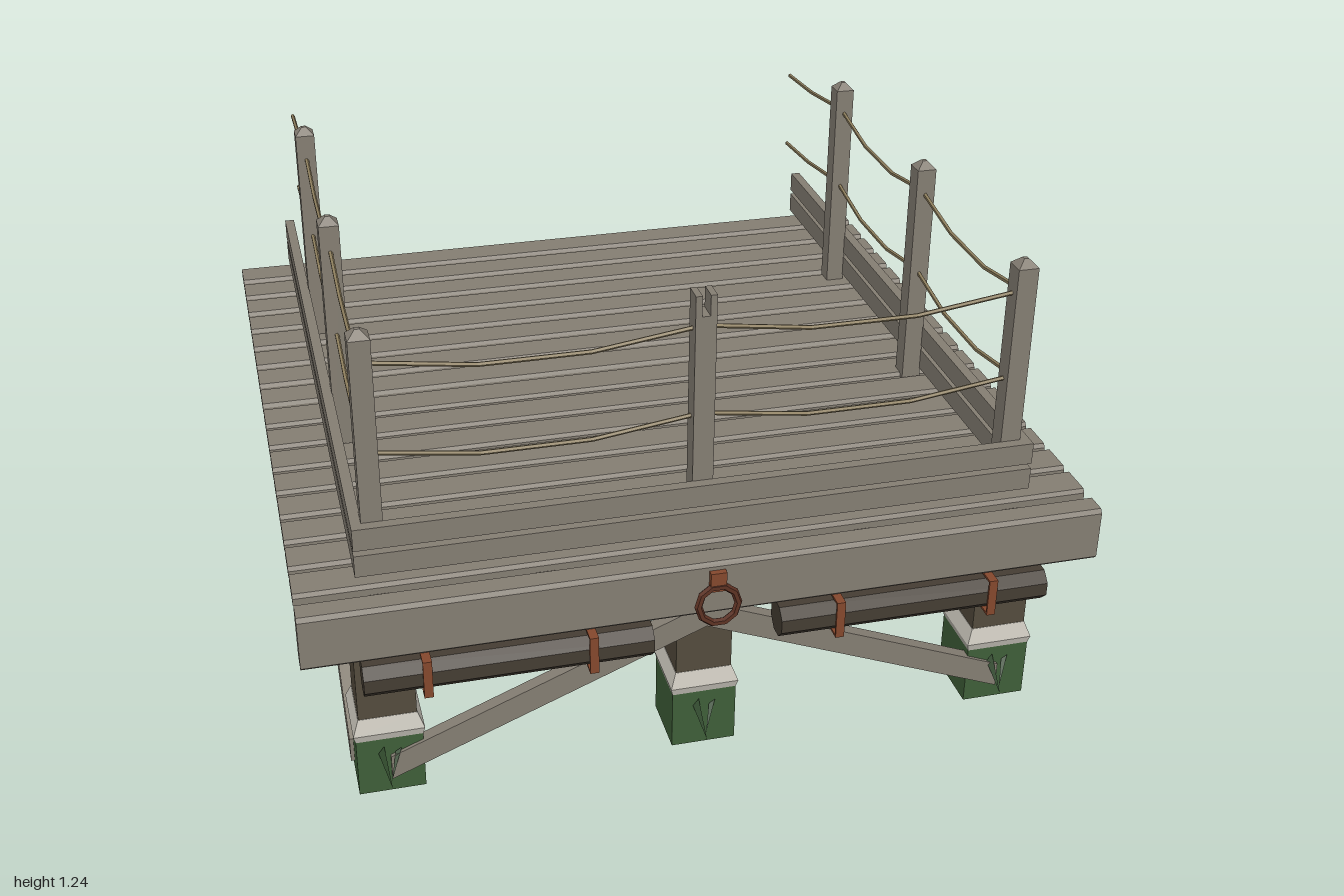
import * as THREE from 'three';

export function createModel() {
  const root = new THREE.Group();
  root.name = 'pier';

  const mat = (name, color, extra = {}) => {
    const m = new THREE.MeshStandardMaterial({ color, flatShading: true, ...extra });
    m.name = name;
    return m;
  };
  const wood = mat('weatheredWood', 0x857e73);
  const pileWood = mat('darkPileWood', 0x544c3d);
  const logWood = mat('logBark', 0x453d33);
  const algae = mat('algaeGreen', 0x3f5f39);
  const barnacle = mat('barnacleWhite', 0xc6c2b8);
  const rust = mat('rustyIron', 0x85482d);
  const darkRust = mat('darkRust', 0x5a3022);
  const ropeMat = mat('rope', 0x8c7d5c);
  const weed = mat('seaweed', 0x2c4628, { side: THREE.DoubleSide });

  const add = (name, geo, m, parent = root) => {
    const mesh = new THREE.Mesh(geo, m);
    mesh.name = name;
    parent.add(mesh);
    return mesh;
  };
  // Box given by its limits on each axis
  const box = (name, m, x0, x1, y0, y1, z0, z1, parent) => {
    const b = add(name, new THREE.BoxGeometry(x1 - x0, y1 - y0, z1 - z0), m, parent);
    b.position.set((x0 + x1) / 2, (y0 + y1) / 2, (z0 + z1) / 2);
    return b;
  };
  // Square frustum aligned with the axes, sized by half widths
  const frustum = (top, bottom, h) =>
    new THREE.CylinderGeometry(top * Math.SQRT2, bottom * Math.SQRT2, h, 4).rotateY(Math.PI / 4);
  // Outline in (z, y) drawn along x
  const alongX = (pts, length) =>
    new THREE.ExtrudeGeometry(new THREE.Shape(pts.map(([z, y]) => new THREE.Vector2(-z, y))),
      { depth: length, bevelEnabled: false }).translate(0, 0, -length / 2).rotateY(Math.PI / 2);

  // Deck planks with chamfered top edges
  const plankGeo = alongX([[-0.049, 0.575], [0.049, 0.575], [0.049, 0.593], [0.042, 0.603],
    [-0.042, 0.603], [-0.049, 0.593]], 2);
  for (let i = 0; i < 16; i++) add('deckPlank', plankGeo, wood).position.z = -0.945 + i * 0.1176;

  // Front beam
  add('frontBeam', alongX([[0.9, 0.457], [0.96, 0.457], [0.968, 0.465], [0.968, 0.592],
    [0.96, 0.603], [0.908, 0.603], [0.9, 0.592]], 2), wood);

  // Joists and the cross beams under them
  for (const x of [-0.8, -0.4, 0, 0.4, 0.8])
    box('joist', wood, x - 0.024, x + 0.024, 0.5, 0.576, -1, 0.9);
  const rows = [0.8, 0.15, -0.5];
  for (const z of rows) box('crossBeam', wood, -0.97, 0.97, 0.43, 0.5, z - 0.08, z + 0.08);

  // Two hanging blades of seaweed
  const weedGeo = new THREE.BufferGeometry();
  weedGeo.setAttribute('position', new THREE.Float32BufferAttribute([
    -0.03, 0.12, 0.086, -0.015, 0.14, 0.086, -0.005, 0.045, 0.135,
    0.028, 0.13, 0.086, 0.012, 0.12, 0.086, -0.005, 0.06, 0.125], 3));
  weedGeo.computeVertexNormals();

  // Piles around the edge
  for (const x of [-0.8, 0, 0.8]) for (const z of rows) {
    if (x === 0 && z === 0.15) continue;
    const pile = new THREE.Group();
    pile.name = 'pile';
    pile.position.set(x, 0, z);
    root.add(pile);
    box('pilePost', pileWood, -0.072, 0.072, 0.15, 0.435, -0.072, 0.072, pile);
    box('pileFoot', algae, -0.083, 0.083, 0, 0.17, -0.083, 0.083, pile);
    add('barnacleCollar', frustum(0.088, 0.083, 0.02), barnacle, pile).position.y = 0.17;
    add('barnacleCollarTop', frustum(0.073, 0.088, 0.04), barnacle, pile).position.y = 0.2;
    add('seaweed', weedGeo, weed, pile);
  }

  // Diagonal braces: a plank from height a at the start to height b at the end
  const brace = (u0, a, u1, b, m) => {
    const h = 0.034;
    const s = new THREE.Shape([[u0, a - h], [u1, b - h], [u1, b + h], [u0, a + h]]
      .map(p => new THREE.Vector2(...p)));
    return add('brace', new THREE.ExtrudeGeometry(s, { depth: 0.035, bevelEnabled: false })
      .translate(0, 0, -0.0175), m);
  };
  const hi = 0.4, lo = 0.075;
  for (const s of [-0.8, 0.8]) {
    brace(0, hi, s, lo, wood).position.z = 0.875;
    brace(0, lo, s, hi, wood).position.z = -0.575;
  }
  for (const end of [0.8, -0.5]) {
    const left = brace(-0.15, lo, -end, hi, wood);
    left.rotation.y = Math.PI / 2;
    left.position.x = 0.875;
    const right = brace(-0.15, hi, -end, lo, end < 0 ? pileWood : wood);
    right.rotation.y = Math.PI / 2;
    right.position.x = -0.875;
  }

  // Kerb boards on the sides and front
  for (const [y0, y1] of [[0.62, 0.678], [0.692, 0.75]]) {
    for (const s of [-1, 1])
      box('sideKerb', wood, s * 0.8375 - 0.0135, s * 0.8375 + 0.0135, y0, y1, -1, 0.825);
    box('frontKerb', wood, -0.851, 0.851, y0, y1, 0.825, 0.853);
  }

  // Railing posts with pointed caps
  for (const x of [-0.8, 0.8]) for (const z of rows) {
    box('railPost', wood, x - 0.026, x + 0.026, 0.59, 1.222, z - 0.026, z + 0.026);
    add('postCap', frustum(0.006, 0.026, 0.02), wood).position.set(x, 1.232, z);
  }
  // Forked middle post
  box('forkedPost', wood, -0.026, 0.026, 0.59, 1.19, 0.774, 0.826);
  for (const s of [-1, 1])
    box('forkProng', wood, s * 0.018 - 0.008, s * 0.018 + 0.008, 1.19, 1.243, 0.774, 0.826);

  // Sagging ropes in straight runs
  const rope = pts => {
    const path = new THREE.CurvePath();
    for (let i = 1; i < pts.length; i++) path.add(new THREE.LineCurve3(pts[i - 1], pts[i]));
    add('rope', new THREE.TubeGeometry(path, 24, 0.006, 5), ropeMat);
  };
  const span = (a, b, y) => rope([0, 1 / 3, 2 / 3, 1].map((t, i) => {
    const p = a.clone().lerp(b, t);
    p.y = i % 3 ? y - 0.037 : y;
    return p;
  }));
  const V = (x, y, z) => new THREE.Vector3(x, y, z);
  for (const y of [1.155, 0.922]) for (const x of [-0.8, 0.8]) {
    span(V(x, y, 0.8), V(0, y, 0.8), y);
    span(V(x, y, 0.8), V(x, y, 0.15), y);
    span(V(x, y, 0.15), V(x, y, -0.5), y);
    rope([V(x, y, -0.5), V(x, y - 0.04, -0.77), V(x, y - 0.057, -0.99)]);
  }

  // Fender logs with square iron hoops
  for (const s of [-1, 1]) {
    const log = add('fenderLog', new THREE.CylinderGeometry(0.046, 0.046, 0.7, 8)
      .rotateY(Math.PI / 8).rotateZ(Math.PI / 2), logWood);
    log.position.set(s * 0.51, 0.405, 0.952);
    for (const x of [s * 0.31, s * 0.71]) {
      const a = x - 0.011, b = x + 0.011;
      box('hoopFront', rust, a, b, 0.355, 0.457, 0.994, 1);
      box('hoopBack', rust, a, b, 0.355, 0.457, 0.9, 0.906);
      box('hoopBottom', rust, a, b, 0.355, 0.361, 0.906, 0.994);
      box('hoopTop', rust, a, b, 0.451, 0.457, 0.906, 0.994);
    }
  }

  // Mooring ring and its bracket
  box('ringBracket', rust, -0.02, 0.02, 0.53, 0.582, 0.966, 0.984);
  const ring = add('mooringRing', new THREE.TorusGeometry(0.05, 0.01, 6, 10), darkRust);
  ring.position.set(0, 0.493, 0.983);
  ring.rotation.x = -0.1;

  return root;
}
